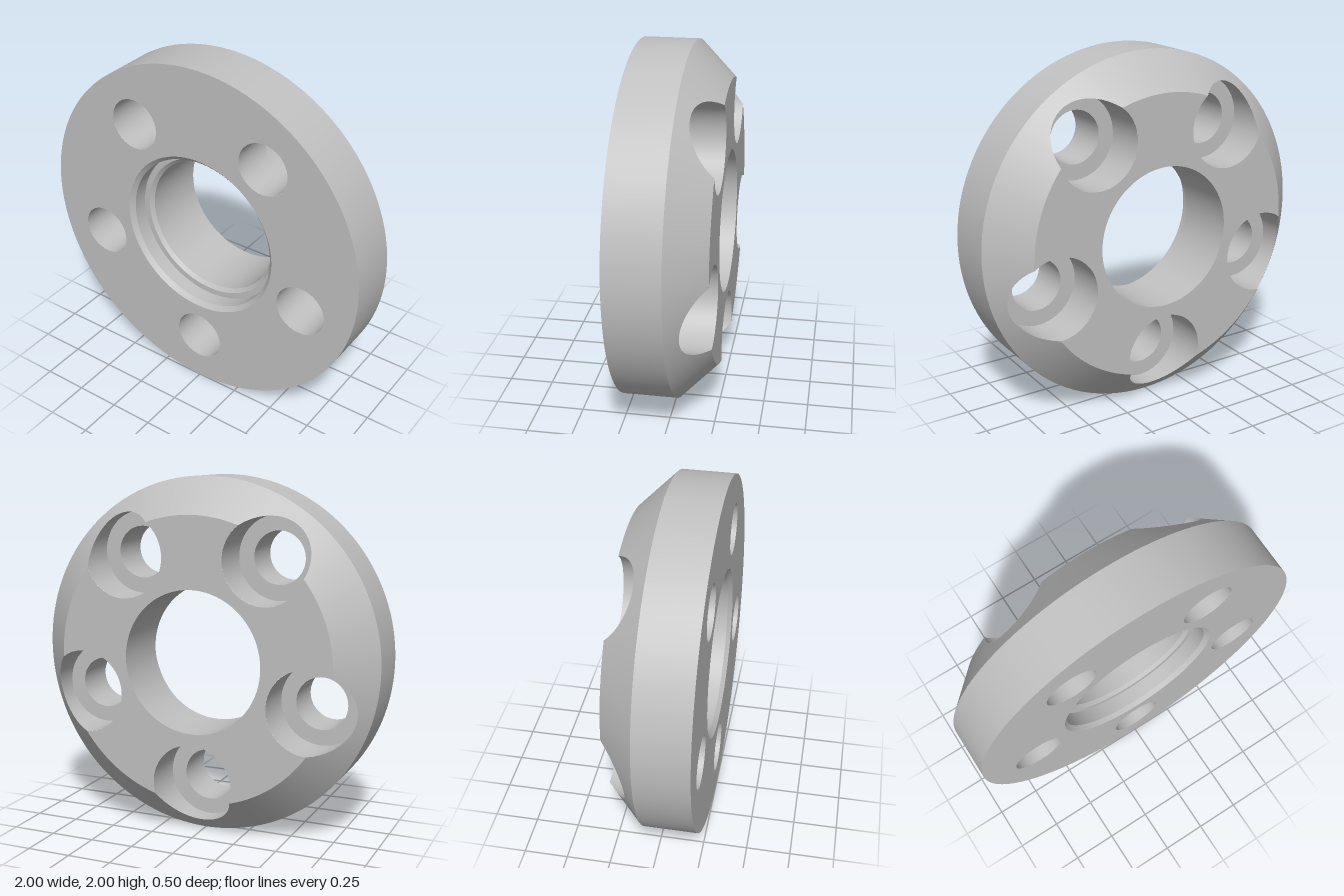
import * as THREE from 'three';

const FRONT = 0.25, BACK = -0.25, SEGMENTS = 120;
const RIM = 1, BACK_RIM = 0.8, BORE = 0.4, BORE_MOUTH = 0.48;
const HOLE_COUNT = 5, PITCH = 0.7, HOLE = 0.147, COUNTERBORE = 0.235, FLOOR = 0;

// Half angles where a counterbore crosses the back rim, about the disc axis and about the hole axis
const crossDisc = Math.acos((BACK_RIM ** 2 + PITCH ** 2 - COUNTERBORE ** 2) / (2 * BACK_RIM * PITCH));
const crossHole = Math.atan2(BACK_RIM * Math.sin(crossDisc), BACK_RIM * Math.cos(crossDisc) - PITCH);

const holeAngles = Array.from({ length: HOLE_COUNT }, (_, i) => -Math.PI / 2 + (i * 2 * Math.PI) / HOLE_COUNT);

// Height of the back surface: flat inside, bevelled towards the rim
const backZ = (rho) => BACK + Math.max(0, rho - BACK_RIM);

// Evenly spaced angles between stops, without the last stop
function anglesBetween(stops, steps) {
  const out = [];
  for (let s = 0; s < stops.length - 1; s++) {
    for (let i = 0; i < steps; i++) out.push(stops[s] + ((stops[s + 1] - stops[s]) * i) / steps);
  }
  return out;
}

const fullTurn = anglesBetween([0, 2 * Math.PI], SEGMENTS);

function circle(radius, z, angles = fullTurn, cx = 0, cy = 0) {
  return angles.map((a) => new THREE.Vector3(cx + radius * Math.cos(a), cy + radius * Math.sin(a), z));
}

// Closed smooth band between two loops of equal length
function band(loopA, loopB) {
  const n = loopA.length, index = [];
  for (let i = 0; i < n; i++) {
    const j = (i + 1) % n;
    index.push(i, j, n + i, j, n + j, n + i);
  }
  const geometry = new THREE.BufferGeometry().setFromPoints([...loopA, ...loopB]);
  geometry.setIndex(index);
  geometry.computeVertexNormals();
  return geometry;
}

function circlePath(x, y, radius) {
  return new THREE.Path().absarc(x, y, radius, 0, 2 * Math.PI, true);
}

export function createModel() {
  const model = new THREE.Group();
  model.name = 'flange';
  const metal = new THREE.MeshStandardMaterial({ color: 0xc0c0c0 });
  metal.name = 'greyMetal';

  const add = (name, geometry, parent = model) => {
    const mesh = new THREE.Mesh(geometry, metal);
    mesh.name = name;
    parent.add(mesh);
    return mesh;
  };

  // Front face with the bore and bolt holes
  const front = new THREE.Shape().absarc(0, 0, RIM, 0, 2 * Math.PI, false);
  front.holes.push(circlePath(0, 0, BORE_MOUTH));
  for (const a of holeAngles) front.holes.push(circlePath(PITCH * Math.cos(a), PITCH * Math.sin(a), HOLE));
  add('frontFace', new THREE.ShapeGeometry(front, SEGMENTS)).position.z = FRONT;

  // Back face, notched where the counterbores run out through its edge
  const sector = (2 * Math.PI) / HOLE_COUNT;
  const back = new THREE.Shape();
  for (const a of holeAngles) {
    back.absarc(PITCH * Math.cos(a), PITCH * Math.sin(a), COUNTERBORE, a - crossHole, a + crossHole, true);
    back.absarc(0, 0, BACK_RIM, a + crossDisc, a + sector - crossDisc, false);
  }
  back.holes.push(circlePath(0, 0, BORE));
  const backFace = add('backFace', new THREE.ShapeGeometry(back, 48));
  backFace.rotation.y = Math.PI;
  backFace.position.z = BACK;

  // Outer rim
  add('outerRim', band(circle(RIM, backZ(RIM)), circle(RIM, FRONT)));

  // Bevel, its inner edge following the far side of each counterbore
  const inner = [], outer = [];
  for (const a of holeAngles) {
    for (const phi of anglesBetween([-sector / 2, -crossDisc, crossDisc, sector / 2], 24)) {
      let rho = BACK_RIM;
      if (Math.abs(phi) < crossDisc) {
        rho = PITCH * Math.cos(phi) + Math.sqrt(COUNTERBORE ** 2 - (PITCH * Math.sin(phi)) ** 2);
      }
      inner.push(...circle(rho, backZ(rho), [a + phi]));
      outer.push(...circle(RIM, backZ(RIM), [a + phi]));
    }
  }
  add('backBevel', band(inner, outer));

  // Stepped bore, listed front to back as [radius, z]
  const bore = new THREE.Group();
  bore.name = 'centreBore';
  model.add(bore);
  const profile = [[BORE_MOUTH, FRONT], [0.455, 0.225], [0.455, 0.14], [0.42, 0.14], [BORE, 0.12], [BORE, BACK]];
  const names = ['mouthBevel', 'recessWall', 'recessStep', 'boreBevel', 'boreWall'];
  names.forEach((name, i) => add(name, band(circle(...profile[i]), circle(...profile[i + 1])), bore));

  // Bolt holes with counterbores opening to the back
  const turn = anglesBetween([-crossHole, crossHole, 2 * Math.PI - crossHole], 32);
  holeAngles.forEach((a, i) => {
    const hole = new THREE.Group();
    hole.name = `boltHole${i + 1}`;
    model.add(hole);
    const cx = PITCH * Math.cos(a), cy = PITCH * Math.sin(a);
    const ring = (radius, z) => circle(radius, z, turn.map((t) => a + t), cx, cy);
    const mouth = ring(COUNTERBORE, 0);
    for (const p of mouth) p.z = backZ(Math.hypot(p.x, p.y));
    add('holeWall', band(ring(HOLE, FRONT), ring(HOLE, FLOOR)), hole);
    add('counterboreFloor', band(ring(HOLE, FLOOR), ring(COUNTERBORE, FLOOR)), hole);
    add('counterboreWall', band(ring(COUNTERBORE, FLOOR), mouth), hole);
  });

  model.position.y = RIM;
  return model;
}
